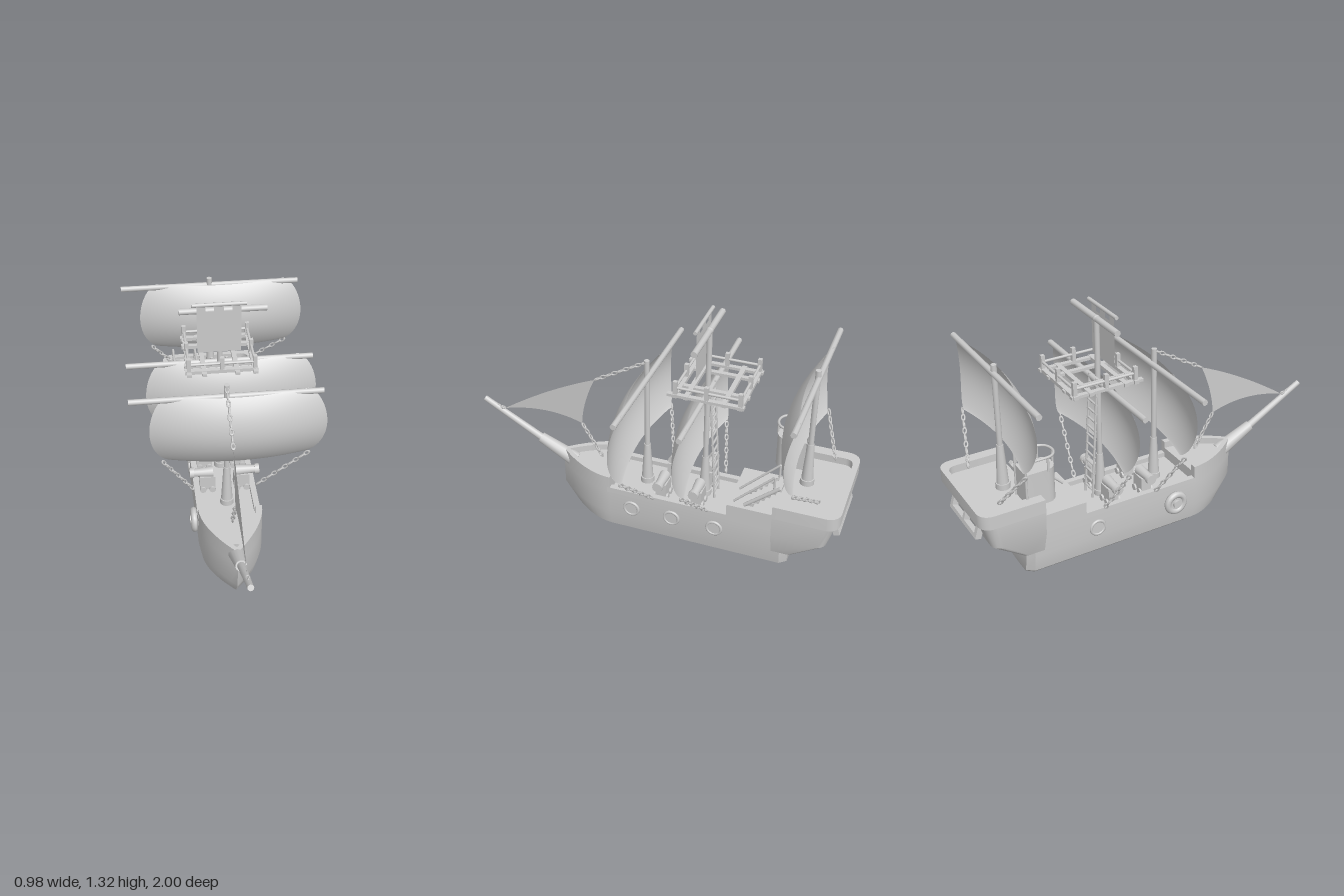
import * as THREE from 'three';
import { toCreasedNormals } from 'three/addons/utils/BufferGeometryUtils.js';

const grey = new THREE.MeshStandardMaterial({ color: 0xcccccc });
const cloth = new THREE.MeshStandardMaterial({ color: 0xcccccc, side: THREE.DoubleSide });
const V = (p) => new THREE.Vector3(...p);
const CX = -0.015; // centre line of hull and masts

export function createModel() {
  const ship = new THREE.Group();
  ship.name = 'sailingShip';

  const add = (name, geo, pos = [0, 0, 0], mat = grey) => {
    const m = new THREE.Mesh(geo, mat);
    m.name = name;
    m.position.set(...pos);
    ship.add(m);
    return m;
  };
  const box = (name, x0, x1, y0, y1, z0, z1) =>
    add(name, new THREE.BoxGeometry(x1 - x0, y1 - y0, z1 - z0), [(x0 + x1) / 2, (y0 + y1) / 2, (z0 + z1) / 2]);
  // Round bar from a to b
  const rod = (name, a, b, r0, r1 = r0, seg = 10) => {
    const d = V(b).sub(V(a));
    const m = add(name, new THREE.CylinderGeometry(r1, r0, d.length(), seg), V(a).addScaledVector(d, 0.5).toArray());
    m.quaternion.setFromUnitVectors(new THREE.Vector3(0, 1, 0), d.normalize());
    return m;
  };
  // Horizontal slab from a plan outline of [x, z] points
  const slab = (name, plan, y0, y1) => {
    const shape = new THREE.Shape(plan.map(([x, z]) => new THREE.Vector2(x, -z)));
    const geo = new THREE.ExtrudeGeometry(shape, { depth: y1 - y0, bevelEnabled: false }).rotateX(-Math.PI / 2);
    return add(name, toCreasedNormals(geo, 0.6), [0, y0, 0]);
  };
  // Closed skin through plan outlines stacked in height
  const loft = (name, levels) => {
    const pos = [], idx = [], n = levels[0].plan.length;
    for (const { y, plan } of levels) for (const [x, z] of plan) pos.push(x, y, z);
    for (let k = 0; k < levels.length - 1; k++) for (let i = 0; i < n; i++) {
      const a = k * n + i, b = k * n + (i + 1) % n;
      idx.push(a, a + n, b, b, a + n, b + n);
    }
    const top = (levels.length - 1) * n;
    for (let i = 1; i < n - 1; i++) idx.push(0, i, i + 1, top, top + i + 1, top + i);
    const geo = new THREE.BufferGeometry();
    geo.setAttribute('position', new THREE.Float32BufferAttribute(pos, 3));
    geo.setIndex(idx);
    return add(name, toCreasedNormals(geo, 0.45), [0, 0, 0]);
  };

  // Hull: square stern, pointed bow
  const bow = (hw, tip, start = 0.21) => {
    const side = [];
    for (let i = 0; i <= 10; i++) {
      const t = i / 10;
      side.push([hw * (1 - t ** 1.8), start + (tip - start) * t]);
    }
    return [...side.map(([x, z]) => [CX + x, z]), ...side.slice(0, -1).reverse().map(([x, z]) => [CX - x, z])];
  };
  const hullPlan = (hw, stern, tip) => [
    [CX - hw, stern + 0.035], [CX - hw + 0.03, stern], [CX + hw - 0.03, stern], [CX + hw, stern + 0.035], ...bow(hw, tip)];
  loft('hull', [[0, 0.065, -0.71, 0.39], [0.07, 0.145, -0.74, 0.48], [0.16, 0.162, -0.74, 0.54], [0.295, 0.162, -0.74, 0.54]]
    .map(([y, hw, s, t]) => ({ y, plan: hullPlan(hw, s, t) })));
  slab('foredeck', bow(0.15, 0.52), 0.29, 0.35);
  slab('foredeckRim', [...bow(0.162, 0.54), ...bow(0.13, 0.505).reverse()], 0.29, 0.385);
  box('quarterDeck', CX - 0.162, CX + 0.162, 0.29, 0.385, -0.72, -0.42);
  for (const s of [-1, 1]) {
    const a = CX + s * 0.162, b = CX + s * 0.132;
    box('bulwark', Math.min(a, b), Math.max(a, b), 0.29, 0.32, -0.42, 0.225);
  }

  // Stern castle
  const castlePlan = (hw, back, r = 0.06) => {
    const pts = [[-hw, -0.68]];
    for (const s of [-1, 1]) for (let i = 0; i <= 5; i++) {
      const a = (s < 0 ? i : 5 - i) / 5 * Math.PI / 2;
      pts.push([s * (hw - r + r * Math.cos(a)), back + r - r * Math.sin(a)]);
    }
    pts.push([hw, -0.68]);
    return pts;
  };
  loft('sternCastle', [[0.165, 0.13, -0.755, 0.02], [0.235, 0.235, -0.79, 0.03], [0.35, 0.268, -0.945, 0.05], [0.48, 0.275, -0.985], [0.505, 0.275, -0.995]]
    .map(([y, ...p]) => ({ y, plan: castlePlan(...p) })));
  slab('sternRim', [...castlePlan(0.277, -1), ...castlePlan(0.22, -0.97, 0.04).reverse()], 0.475, 0.545);

  // Stern window frame with two panes
  const frame = new THREE.Shape([[-0.16, -0.05], [0.16, -0.05], [0.16, 0.05], [-0.16, 0.05]].map(p => new THREE.Vector2(...p)));
  for (const [a, b] of [[-0.135, -0.01], [0.01, 0.135]])
    frame.holes.push(new THREE.Path([[a, -0.03], [a, 0.03], [b, 0.03], [b, -0.03]].map(p => new THREE.Vector2(...p))));
  add('sternWindow', new THREE.ExtrudeGeometry(frame, { depth: 0.03, bevelEnabled: false }), [0, 0.415, -0.98]).rotation.x = 0.3;

  // Portholes
  const porthole = (x, z, r, tube) => {
    add('portholeRing', new THREE.TorusGeometry(r, tube, 8, 24).rotateY(Math.PI / 2), [x, 0.215, z]);
    add('portholePane', new THREE.CylinderGeometry(r, r, tube, 24).rotateZ(Math.PI / 2), [x, 0.215, z]);
  };
  for (const z of [0.09, -0.13, -0.36]) porthole(0.147, z, 0.038, 0.008);
  porthole(-0.177, -0.36, 0.038, 0.008);
  porthole(-0.19, 0.09, 0.048, 0.018);
  rod('portHub', [-0.17, 0.215, 0.09], [-0.212, 0.215, 0.09], 0.022, 0.022, 16);

  // Masts with tapered feet
  const mast = (name, z, y0, y1, foot) => {
    rod(name, [CX, y0, z], [CX, y1, z], 0.014, 0.014, 12);
    rod(name + 'Plinth', [CX, y0, z], [CX, y0 + 0.03, z], 0.036, 0.036, 16);
    rod(name + 'Foot', [CX, y0 + 0.03, z], [CX, foot, z], 0.03, 0.017, 16);
  };
  mast('foreMast', 0.06, 0.295, 1.03, 0.53);
  mast('mainMast', -0.255, 0.295, 1.26, 0.53);
  mast('mizzenMast', -0.78, 0.505, 1.155, 0.74);
  add('mainMastCap', new THREE.SphereGeometry(0.018, 12, 8), [CX, 1.26, -0.255]);
  rod('bowspritBase', [CX, 0.32, 0.47], [CX, 0.42, 0.67], 0.042, 0.028, 14);
  rod('bowsprit', [CX, 0.41, 0.65], [CX, 0.6, 0.99], 0.02, 0.015, 12);

  // Chains of alternating links
  const chain = (name, a, b) => {
    const A = V(a), d = V(b).sub(A), len = d.length(), n = Math.max(3, Math.round(len / 0.036));
    const q = new THREE.Quaternion().setFromUnitVectors(new THREE.Vector3(0, 1, 0), d.clone().normalize());
    for (let i = 0; i < n; i++) {
      const geo = new THREE.TorusGeometry(0.011, 0.005, 5, 10).scale(0.8, len / n / 0.025, 1);
      const link = add(name, geo.rotateY(i % 2 * Math.PI / 2), A.clone().addScaledVector(d, (i + 0.5) / n).toArray());
      link.quaternion.copy(q);
    }
  };

  // Square sails, their yards and sheets
  const sail = (name, yMid, z0) => {
    const geo = new THREE.PlaneGeometry(2, 2, 28, 24), p = geo.attributes.position;
    for (let i = 0; i < p.count; i++) {
      const u = p.getX(i), v = Math.sin(p.getY(i) * Math.PI / 2), fu = 1 - u * u, fv = Math.max(0, 1 - v * v);
      p.setXYZ(i, 0.045 + u * (0.342 + 0.1 * fv ** 0.6), yMid + 0.193 * v,
        z0 - 0.01 + 0.035 * fv + 0.045 * fu + 0.04 * fu * fv);
    }
    geo.computeVertexNormals();
    add(name, geo, [0, 0, 0], cloth);
    rod(name + 'Yard', [-0.49, yMid + 0.18, z0], [0.465, yMid + 0.18, z0], 0.015, 0.015, 8);
  };
  sail('foreSail', 0.772, 0.045);
  sail('mainSail', 0.772, -0.272);
  sail('mizzenSail', 0.932, -0.785);
  for (const [z0, z1, y0, y1, x1] of [[0.045, -0.03, 0.58, 0.32, 0.165], [-0.265, -0.32, 0.58, 0.32, 0.165], [-0.795, -0.88, 0.74, 0.545, 0.18]]) {
    chain('sheetChain', [-0.34, y0, z0], [CX - x1, y1, z1]);
    chain('sheetChain', [0.41, y0, z0], [CX + x1, y1, z1]);
  }

  // Jib with hollow edges
  const jib = new THREE.Shape();
  jib.moveTo(0.875, 0.56);
  jib.quadraticCurveTo(0.6, 0.75, 0.345, 0.855);
  jib.quadraticCurveTo(0.415, 0.71, 0.425, 0.57);
  jib.quadraticCurveTo(0.62, 0.64, 0.875, 0.56);
  add('jib', new THREE.ShapeGeometry(jib).rotateY(-Math.PI / 2), [CX, 0, 0], cloth);
  chain('jibChain', [CX, 1.02, 0.06], [CX, 0.855, 0.345]);
  chain('jibChain', [CX, 0.57, 0.425], [CX, 0.385, 0.315]);
  chain('jibChain', [CX, 0.56, 0.875], [CX, 0.575, 0.95]);

  // Banner hung from tabs
  const flag = new THREE.Shape([[-0.13, 1.04], [0.09, 1.04], [0.09, 1.305], [0.045, 1.305], [0.045, 1.27], [0.005, 1.27], [0.005, 1.305],
    [-0.045, 1.305], [-0.045, 1.27], [-0.085, 1.27], [-0.085, 1.305], [-0.13, 1.305]].map(p => new THREE.Vector2(...p)));
  add('banner', new THREE.ShapeGeometry(flag), [0, 0, -0.225], cloth);
  rod('bannerBar', [-0.155, 1.307, -0.225], [0.115, 1.307, -0.225], 0.01, 0.01, 8);
  rod('bannerYard', [-0.215, 1.26, -0.255], [0.22, 1.26, -0.255], 0.016, 0.016, 10);

  // Lookout platform: crossed beams, posts and rails
  const xs = [-0.18, CX, 0.15], zs = [-0.465, -0.3, -0.145];
  for (const z of [-0.465, -0.385, -0.2, -0.145]) box('lookoutBeam', -0.2, 0.165, 0.97, 0.988, z - 0.012, z + 0.012);
  for (const x of [-0.18, -0.105, 0.06, 0.15]) box('lookoutBeam', x - 0.012, x + 0.012, 0.972, 0.986, -0.485, -0.105);
  xs.forEach((x, i) => zs.forEach((z, j) => {
    if (i !== 1 || j !== 1) box('lookoutPost', x - 0.01, x + 0.01, 0.97, 1.055, z - 0.01, z + 0.01);
  }));
  for (const z of [zs[0], zs[2]]) rod('lookoutRail', [xs[0], 1.02, z], [xs[2], 1.02, z], 0.007);
  for (const x of [xs[0], xs[2]]) rod('lookoutRail', [x, 1.02, zs[0]], [x, 1.02, zs[2]], 0.007);

  // Ladder behind the main mast
  for (const s of [-1, 1]) rod('ladderSide', [CX + s * 0.038, 0.31, -0.32], [CX + s * 0.038, 0.97, -0.28], 0.006);
  for (let i = 0; i < 13; i++) {
    const y = 0.35 + i * 0.048, z = -0.318 + i * 0.003;
    rod('ladderRung', [CX - 0.045, y, z], [CX + 0.045, y, z], 0.006, 0.006, 6);
  }

  // Deck guns
  for (const z of [-0.06, -0.25]) for (const s of [-1, 1]) {
    const at = (d) => [CX + s * d, 0.405, z];
    rod('gunBarrel', at(0.06), at(0.165), 0.028, 0.02, 14);
    rod('gunMuzzle', at(0.16), at(0.182), 0.027, 0.027, 14);
    const c = CX + s * 0.09;
    box('gunCarriage', c - 0.04, c + 0.04, 0.31, 0.39, z - 0.028, z + 0.028);
    for (const w of [-1, 1]) for (const e of [-0.025, 0.025])
      rod('gunWheel', [c + e, 0.312, z + w * 0.028], [c + e, 0.312, z + w * 0.038], 0.017, 0.017, 12);
  }

  // Stairs up to the stern castle, with handrails
  for (let i = 0; i < 6; i++) {
    const z = -0.52 - i * 0.027, y = 0.405 + i * 0.026;
    box('stair', 0.02, 0.12, y - 0.018, y, z - 0.03, z);
  }
  for (const x of [0.018, 0.122]) {
    rod('stairRail', [x, 0.4, -0.45], [x, 0.6, -0.65], 0.006);
    rod('stairStringer', [x, 0.39, -0.505], [x, 0.54, -0.68], 0.01);
    rod('stairPost', [x, 0.53, -0.65], [x, 0.6, -0.65], 0.006);
  }

  // Rounded pulpit with a rail
  const pulpit = [[-0.225, -0.75]];
  for (let i = 0; i <= 8; i++) {
    const a = Math.PI * (1 - i / 8);
    pulpit.push([-0.165 + 0.06 * Math.cos(a), -0.635 + 0.05 * Math.sin(a)]);
  }
  pulpit.push([-0.105, -0.75]);
  slab('pulpit', pulpit, 0.49, 0.67);
  const rail = new THREE.CatmullRomCurve3(pulpit.map(([x, z]) => new THREE.Vector3(x, 0.735, z)));
  add('pulpitRail', new THREE.TubeGeometry(rail, 32, 0.007, 6));
  for (const i of [0, 1, 5, 9, 10]) {
    const [x, z] = pulpit[i];
    rod('pulpitPost', [x, i % 10 ? 0.66 : 0.5, z], [x, 0.735, z], 0.006);
  }

  return ship;
}
